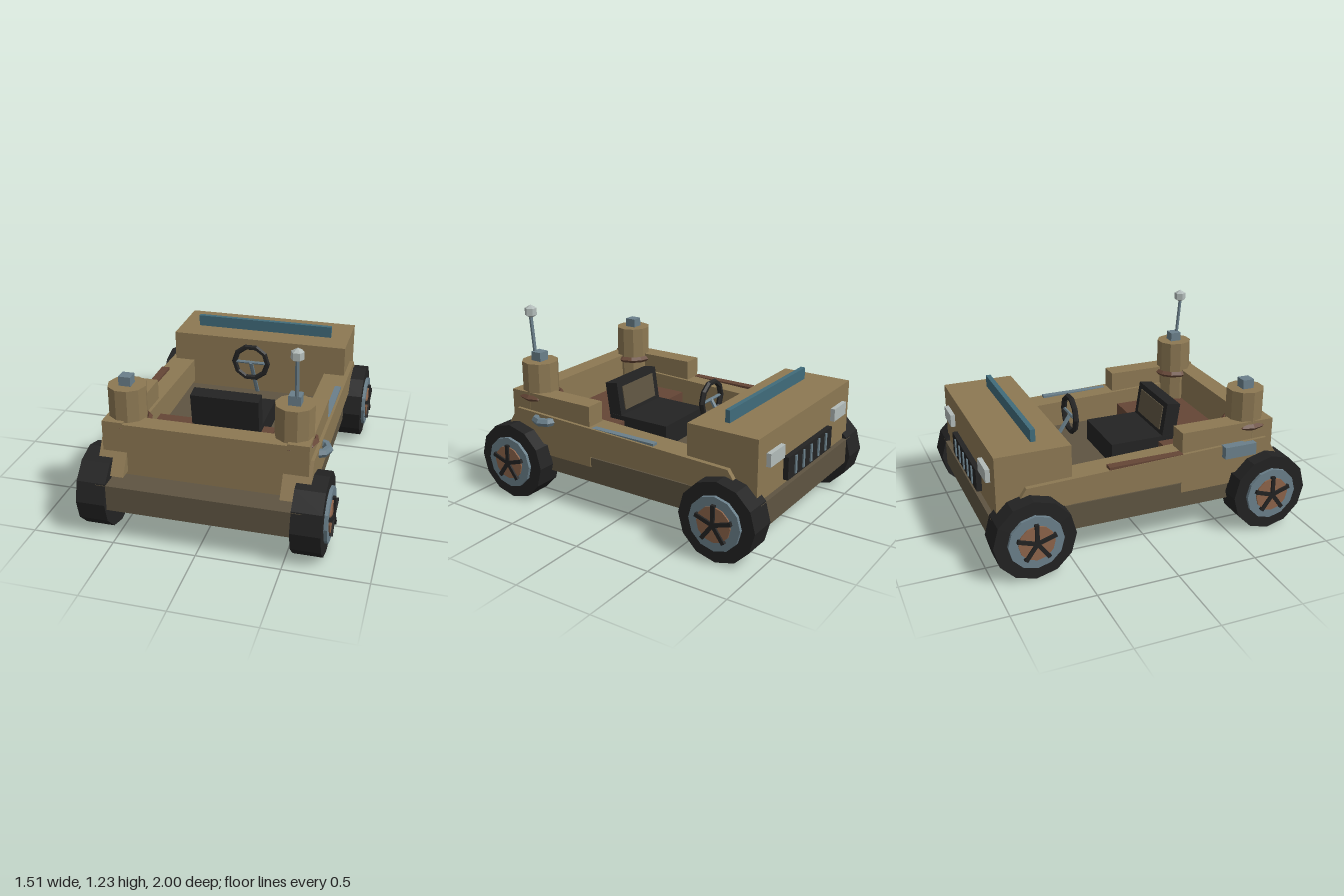
import * as THREE from 'three';

const mat = (name, color) => {
  const m = new THREE.MeshStandardMaterial({ color, flatShading: true });
  m.name = name;
  return m;
};

export function createModel() {
  const car = new THREE.Group();
  car.name = 'openBuggy';

  const tan = mat('tan paint', 0x8c7853);
  const olive = mat('dark olive', 0x5e5441);
  const black = mat('black rubber', 0x232323);
  const steel = mat('blue grey steel', 0x6a7f8a);
  const copper = mat('copper', 0x8c6349);
  const rust = mat('rust brown', 0x654636);
  const teal = mat('teal glass', 0x406b7a);
  const silver = mat('pale silver', 0xb2bbb9);

  const add = (name, geo, material, x = 0, y = 0, z = 0, parent = car) => {
    const m = new THREE.Mesh(geo, material);
    m.name = name;
    m.position.set(x, y, z);
    parent.add(m);
    return m;
  };
  // box given by its limits on each axis
  const box = (name, material, x0, x1, y0, y1, z0, z1, parent = car) =>
    add(name, new THREE.BoxGeometry(x1 - x0, y1 - y0, z1 - z0), material,
      (x0 + x1) / 2, (y0 + y1) / 2, (z0 + z1) / 2, parent);
  // straight rod between two points
  const rod = (name, material, a, b, r, sides = 6) => {
    const p = new THREE.Vector3(...a), q = new THREE.Vector3(...b);
    const m = add(name, new THREE.CylinderGeometry(r, r, p.distanceTo(q), sides), material);
    m.position.copy(p).lerp(q, 0.5);
    m.quaternion.setFromUnitVectors(new THREE.Vector3(0, 1, 0), q.sub(p).normalize());
    return m;
  };

  // chassis, floor and end walls
  box('chassis', olive, -0.6, 0.6, 0.2, 0.36, -0.97, 0.97);
  box('rearDeck', rust, -0.47, 0.47, 0.36, 0.47, 0.23, 0.7);
  box('endWall', tan, -0.6, 0.6, 0.36, 0.68, 0.69, 0.81);
  box('hood', tan, -0.595, 0.595, 0.36, 0.735, -0.94, -0.49);
  box('windscreen', teal, -0.47, 0.47, 0.735, 0.81, -0.69, -0.66);

  // sloped side panels, drawn in z and y
  const profile = new THREE.Shape([[0.89, 0.38], [0.76, 0.58], [-0.77, 0.53], [-0.87, 0.38]]
    .map(([z, y]) => new THREE.Vector2(z, y)));
  const panel = new THREE.ExtrudeGeometry(profile, { depth: 0.165, bevelEnabled: false });
  panel.translate(0, 0, -0.0825);
  panel.rotateY(-Math.PI / 2);

  for (const s of [-1, 1]) {
    const side = s > 0 ? 'left' : 'right';
    add(side + 'SidePanel', panel, tan, s * 0.5425);
    add(side + 'SideBox', new THREE.BoxGeometry(0.125, 0.39, 0.61), tan, s * 0.5425, 0.495, 0.505);

    // corner tower with collar and cap
    const tower = new THREE.CylinderGeometry(0.114, 0.114, 0.415, 10);
    tower.rotateY(Math.PI / 2);
    add(side + 'Tower', tower, tan, s * 0.492, 0.668, 0.672);
    const collar = new THREE.TorusGeometry(0.121, 0.02, 4, 12);
    collar.rotateX(Math.PI / 2);
    add(side + 'TowerCollar', collar, rust, s * 0.492, 0.655, 0.672);
    add(side + 'TowerCap', new THREE.BoxGeometry(0.072, 0.06, 0.072), steel, s * 0.494, 0.902, 0.672);

    // headlight
    add(side + 'Headlight', new THREE.BoxGeometry(0.17, 0.08, 0.03), silver, s * 0.415, 0.586, -0.953);
  }

  // trim strips and side fittings
  box('leftTrimStrip', steel, 0.57, 0.61, 0.54, 0.561, -0.27, 0.2);
  box('rightTrimStrip', rust, -0.622, -0.57, 0.54, 0.564, -0.27, 0.2);
  box('rightSideCase', steel, -0.667, -0.61, 0.5, 0.575, 0.46, 0.67);
  const handle = new THREE.TorusGeometry(0.067, 0.027, 6, 8);
  handle.rotateX(Math.PI / 2);
  add('leftSideHandle', handle, steel, 0.602, 0.541, 0.542);

  // antenna
  rod('antennaMast', steel, [0.505, 0.92, 0.698], [0.505, 1.16, 0.72], 0.012);
  add('antennaTip', new THREE.SphereGeometry(0.043, 6, 3), silver, 0.505, 1.182, 0.717);

  // grille with upright bars
  box('grille', black, -0.29, 0.29, 0.39, 0.53, -0.972, -0.93);
  for (let i = -2; i <= 2; i++)
    box('grilleBar', steel, i * 0.1 - 0.01, i * 0.1 + 0.01, 0.405, 0.515, -0.98, -0.965);

  // steering wheel and column
  add('steeringWheel', new THREE.TorusGeometry(0.112, 0.018, 6, 10), black, 0, 0.658, -0.285);
  rod('steeringSpoke', steel, [-0.105, 0.658, -0.285], [0.105, 0.658, -0.285], 0.01);
  rod('steeringColumn', steel, [0, 0.66, -0.28], [0, 0.355, -0.48], 0.014);

  // seat
  box('seatCushion', black, -0.215, 0.215, 0.36, 0.5, -0.09, 0.33);
  const back = new THREE.Group();
  back.name = 'seatBack';
  back.position.set(0, 0.45, 0.29);
  back.rotation.x = 0.15;
  car.add(back);
  box('backrest', black, -0.212, 0.212, -0.05, 0.26, -0.04, 0.05, back);
  box('backrestPad', olive, -0.165, 0.165, 0.07, 0.225, -0.046, -0.038, back);

  // wheels, each built with its axle along x and facing +x
  const disc = (r, x0, x1, sides) => {
    const g = new THREE.CylinderGeometry(r, r, x1 - x0, sides);
    g.rotateZ(-Math.PI / 2);
    g.translate((x0 + x1) / 2, 0, 0);
    return g;
  };
  for (const s of [-1, 1]) for (const z of [-0.755, 0.755]) {
    const wheel = new THREE.Group();
    wheel.name = (z > 0 ? 'front' : 'back') + (s > 0 ? 'Left' : 'Right') + 'Wheel';
    wheel.position.set(s * 0.54, 0.245, z);
    wheel.rotation.y = s > 0 ? 0 : Math.PI;
    car.add(wheel);
    add('tyre', disc(0.245, 0, 0.175, 12), black, 0, 0, 0, wheel);
    add('rim', disc(0.165, 0.1, 0.195, 12), steel, 0, 0, 0, wheel);
    add('hubDisc', disc(0.108, 0.1, 0.204, 12), copper, 0, 0, 0, wheel);
    for (let i = 0; i < 5; i++) {
      const g = new THREE.BoxGeometry(0.02, 0.12, 0.024);
      g.translate(0.205, 0.06, 0);
      g.rotateX(i * Math.PI * 0.4);
      add('spoke', g, black, 0, 0, 0, wheel);
    }
  }
  return car;
}
